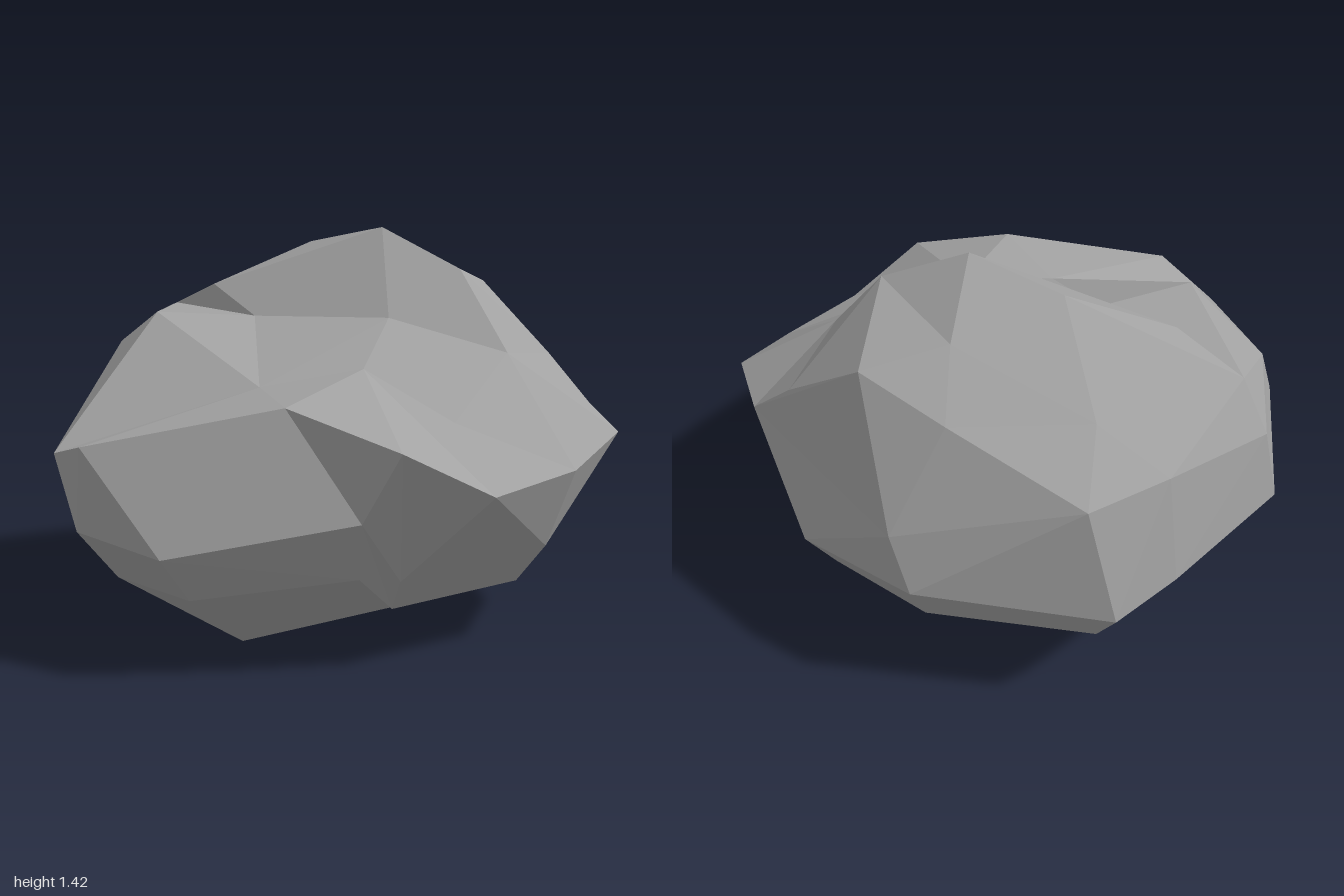
import * as THREE from 'three';

// Main cross-section loops from the underside to the crown, each running from +x towards +z.
const [UNDERSIDE, WAIST, RIM, SHELF, RIDGE] = [
  [[0.34, 0.14, 0.4], [-0.3, 0, 0.52], [-0.73, 0.08, 0.2], [-0.5, 0.09, -0.4], [-0.1, 0.14, -0.6], [0.33, 0.05, -0.45]],
  [[0.87, 0.45, 0], [0.74, 0.36, 0.45], [0.27, 0.31, 0.77], [0.16, 0.53, 0.91], [-0.46, 0.42, 1],
    [-0.79, 0.45, 0.8], [-0.99, 0.53, 0.2], [-1, 0.74, -0.1], [-0.91, 0.65, -0.59], [-0.52, 0.55, -0.87],
    [-0.3, 0.5, -1], [0.37, 0.54, -0.86], [0.74, 0.45, -0.48]],
  [[0.99, 0.72, 0.23], [0.83, 0.64, 0.53], [0.57, 0.61, 0.83], [0.29, 0.77, 0.98], [-0.09, 0.88, 0.84],
    [-0.76, 0.74, 0.84], [-0.93, 0.67, 0.6], [-0.92, 0.97, -0.2], [-0.85, 0.92, -0.58], [-0.48, 0.95, -0.81],
    [-0.2, 0.93, -0.93], [0.43, 0.73, -0.78], [0.91, 0.77, -0.11]],
  [[0.6, 0.98, 0.12], [0.43, 0.79, 0.53], [0.11, 0.95, 0.4], [-0.24, 0.89, 0.47], [-0.7, 1.11, 0.07],
    [-0.77, 1.1, -0.5], [-0.25, 1.1, -0.7], [0.23, 1.1, -0.68], [0.5, 1.2, -0.5], [0.76, 0.94, -0.24]],
  [[0.17, 1.1, 0.11], [-0.35, 1.09, -0.03], [-0.57, 1.19, -0.32], [-0.18, 1.36, -0.35], [0.2, 1.27, -0.47], [0.42, 1.27, -0.05]],
];
const BASE = [0, 0.05, -0.05];
const PEAK = [0.12, 1.42, -0.16];

// Direction of a loop's k-th point around the y axis, counting on past a full turn
function turn(loop, k) {
  const [x, , z] = loop[k % loop.length];
  const angle = Math.atan2(z, x);
  return (angle < 0 ? angle + 2 * Math.PI : angle) + (k >= loop.length ? 2 * Math.PI : 0);
}

// Triangles between two loops that may have different numbers of points
function skin(lower, upper) {
  const corners = [];
  let i = 0, j = 0;
  while (i < lower.length || j < upper.length) {
    const a = lower[i % lower.length], b = upper[j % upper.length];
    const lowerMiddle = i < lower.length ? turn(lower, i) + turn(lower, i + 1) : Infinity;
    const upperMiddle = j < upper.length ? turn(upper, j) + turn(upper, j + 1) : Infinity;
    if (lowerMiddle < upperMiddle) corners.push(a, b, lower[++i % lower.length]);
    else corners.push(a, b, upper[++j % upper.length]);
  }
  return corners;
}

function boulderGeometry() {
  // The lower flank repeats the waist, drawn in and lowered
  const flank = WAIST.map(([x, y, z]) => [x * 0.87, y * 0.6, z * 0.87]);
  const loops = [UNDERSIDE, flank, WAIST, RIM, SHELF, RIDGE];
  const corners = [];
  for (let i = 0; i < loops.length - 1; i++) corners.push(...skin(loops[i], loops[i + 1]));

  // Close the underside and the crown
  UNDERSIDE.forEach((p, k) => corners.push(BASE, p, UNDERSIDE[(k + 1) % UNDERSIDE.length]));
  RIDGE.forEach((p, k) => corners.push(PEAK, RIDGE[(k + 1) % RIDGE.length], p));

  const geometry = new THREE.BufferGeometry();
  geometry.setAttribute('position', new THREE.Float32BufferAttribute(corners.flat(), 3));
  geometry.computeVertexNormals();
  return geometry;
}

export function createModel() {
  const model = new THREE.Group();
  model.name = 'rock';
  const boulder = new THREE.Mesh(
    boulderGeometry(),
    new THREE.MeshStandardMaterial({ color: 0xa2a2a2, flatShading: true })
  );
  boulder.name = 'boulder';
  model.add(boulder);
  return model;
}
